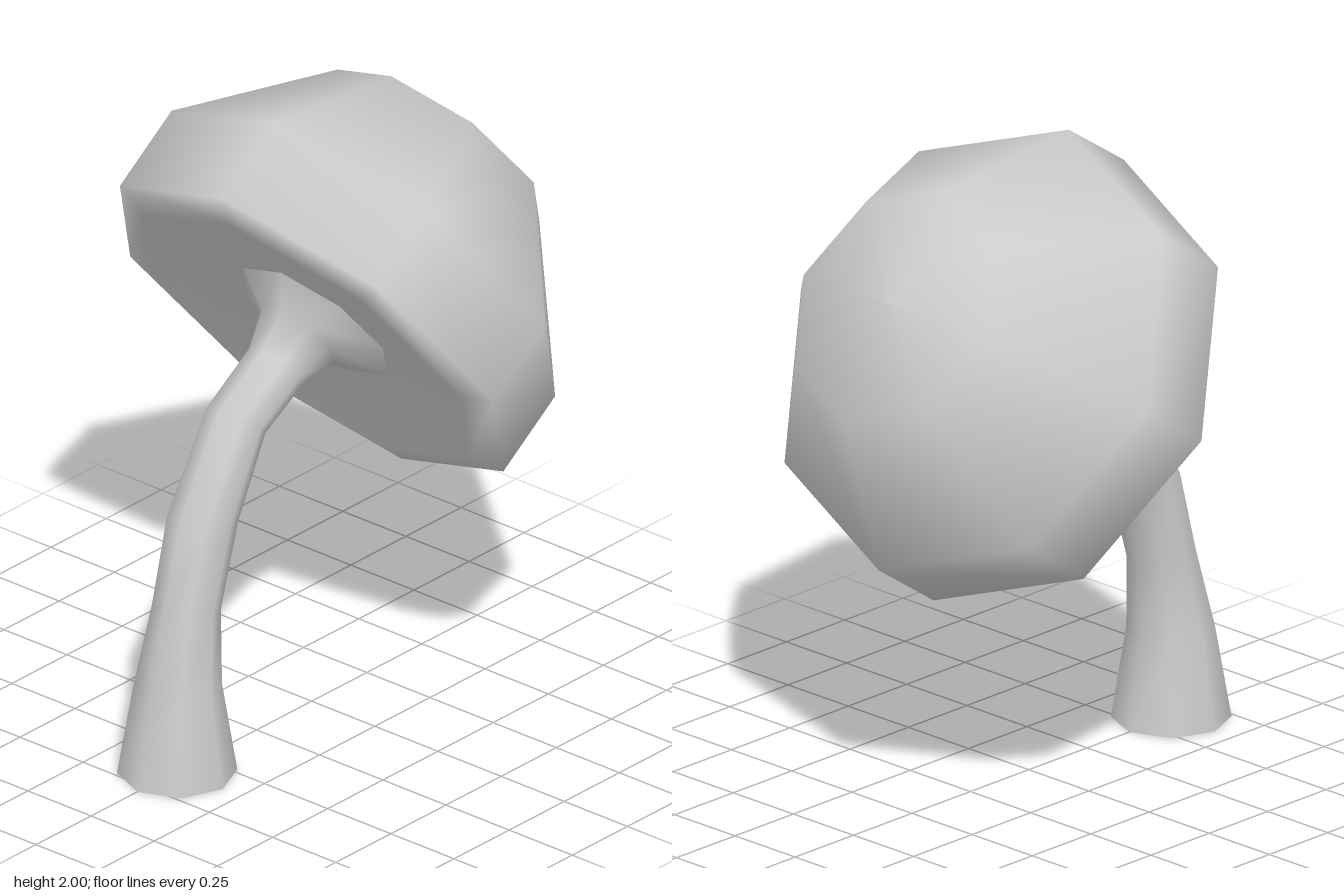
import * as THREE from 'three';

const SIDES = 8;
const material = new THREE.MeshStandardMaterial({ color: 0xcccccc });

// Skin through round rings, each given by its two outline points [x1, y1, x2, y2] in the z = 0 plane
function skinRings(rings) {
  const positions = [], index = [];
  rings.forEach(([x1, y1, x2, y2], r) => {
    const cx = (x1 + x2) / 2, cy = (y1 + y2) / 2;
    const dx = (x2 - x1) / 2, dy = (y2 - y1) / 2;
    const radius = Math.hypot(dx, dy);
    for (let i = 0; i < SIDES; i++) {
      const a = (i / SIDES) * Math.PI * 2;
      positions.push(cx + dx * Math.cos(a), cy + dy * Math.cos(a), radius * Math.sin(a));
      if (r === rings.length - 1) continue;
      const p = r * SIDES + i, q = r * SIDES + (i + 1) % SIDES;
      index.push(p, p + SIDES, q, q, p + SIDES, q + SIDES);
    }
  });
  const geometry = new THREE.BufferGeometry();
  geometry.setAttribute('position', new THREE.Float32BufferAttribute(positions, 3));
  geometry.setIndex(index);
  geometry.computeVertexNormals();
  return geometry;
}

export function createModel() {
  const group = new THREE.Group();
  const add = (name, geometry) => {
    const mesh = new THREE.Mesh(geometry, material);
    mesh.name = name;
    group.add(mesh);
    return mesh;
  };

  // Bent stem, flaring out into the underside of the cap
  add('stem', skinRings([
    [-0.79, 0, -0.43, 0],
    [-0.74, 0.29, -0.475, 0.29],
    [-0.67, 0.55, -0.465, 0.52],
    [-0.60, 0.82, -0.39, 0.78],
    [-0.42, 1.13, -0.265, 1.015],
    [-0.22, 1.26, -0.11, 1.10],
    [-0.14, 1.36, 0.01, 1.14],
    [-0.137, 1.505, 0.191, 1.029],
  ]));

  // Flat foot of the stem
  const foot = add('stemFoot', new THREE.CircleGeometry(0.18, SIDES));
  foot.rotation.x = Math.PI / 2;
  foot.position.x = -0.61;

  // Tilted cap with a rolled lip and a shallow hollow underside
  const profile = [
    [0, 0.025], [0.56, 0.02], [0.61, -0.029], [0.718, 0],
    [0.718, 0.285], [0.377, 0.698], [0, 0.729],
  ].map(([r, y]) => new THREE.Vector2(r, y));
  const cap = add('cap', new THREE.LatheGeometry(profile, SIDES));
  cap.rotation.z = -0.968;
  cap.position.y = 1.247;

  return group;
}
